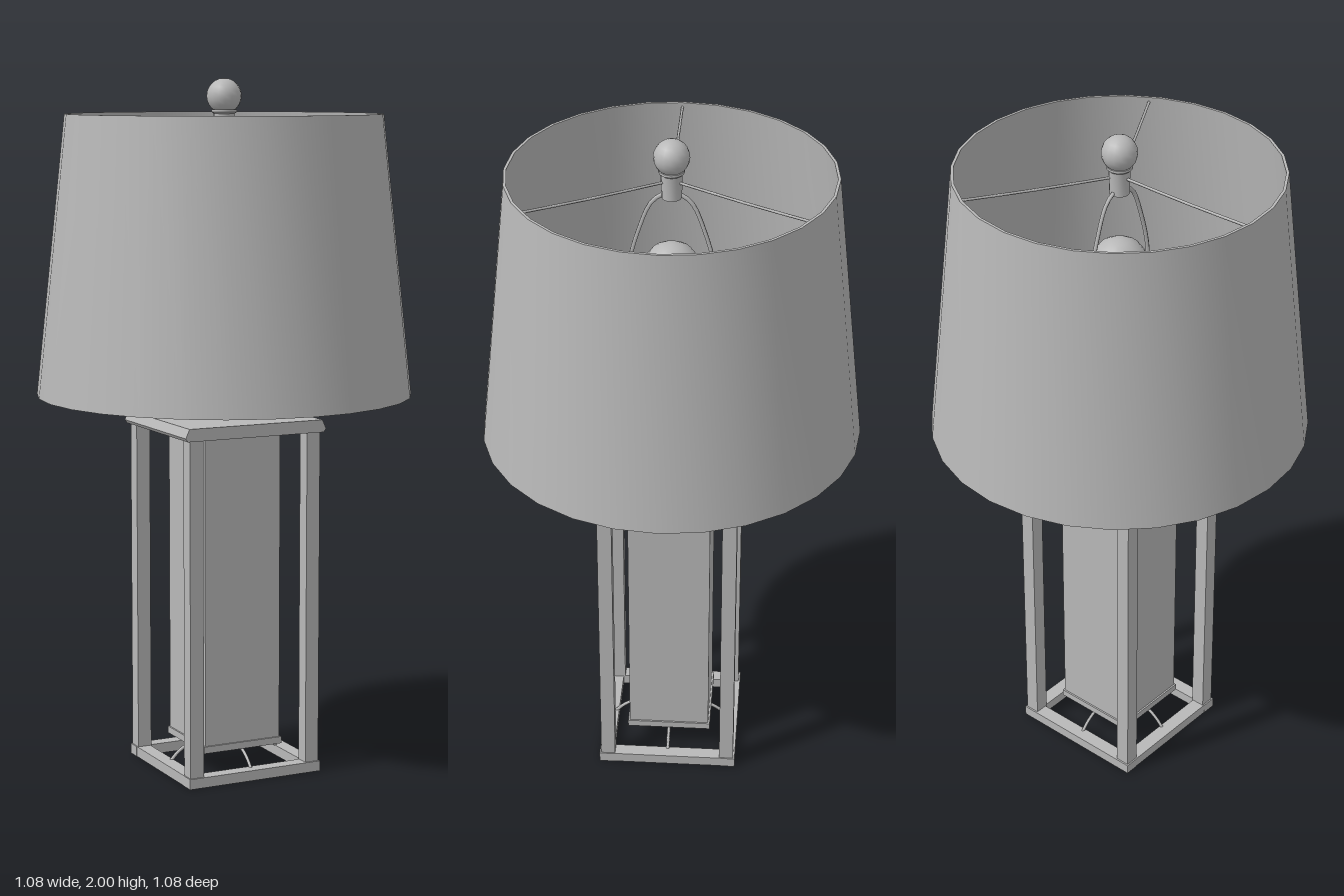
import * as THREE from 'three';
import { toCreasedNormals } from 'three/addons/utils/BufferGeometryUtils.js';

export function createModel() {
  const lamp = new THREE.Group();
  lamp.name = 'tableLamp';
  const gray = new THREE.MeshStandardMaterial({ color: 0xb8b8b8 });
  gray.name = 'plain gray';

  const add = (name, geometry, x = 0, y = 0, z = 0) => {
    const mesh = new THREE.Mesh(geometry, gray);
    mesh.name = name;
    mesh.position.set(x, y, z);
    lamp.add(mesh);
    return mesh;
  };
  const box = (name, w, h, d, x, y, z) => add(name, new THREE.BoxGeometry(w, h, d), x, y, z);
  const lathe = (name, points, sides) => add(name, toCreasedNormals(
    new THREE.LatheGeometry(points.map(p => new THREE.Vector2(...p)), sides), 0.7));
  const wire = (name, points, radius, steps = 12) => add(name, new THREE.TubeGeometry(
    new THREE.CatmullRomCurve3(points.map(p => new THREE.Vector3(...p))), steps, radius, 6));

  // Open bottom frame
  for (const s of [-1, 1]) {
    box('bottomRailX', 0.42, 0.03, 0.042, 0, 0.015, s * 0.185);
    box('bottomRailZ', 0.042, 0.03, 0.33, s * 0.188, 0.015, 0);
  }

  // Corner posts
  for (const x of [-1, 1]) for (const z of [-1, 1]) {
    box('cornerPost', 0.042, 0.98, 0.042, x * 0.185, 0.515, z * 0.18);
  }

  // Top plate with slanted side edges
  const plate = new THREE.Shape([
    [-0.215, 1.0], [0.215, 1.0], [0.222, 1.01], [0.21, 1.036], [-0.21, 1.036], [-0.222, 1.01],
  ].map(p => new THREE.Vector2(...p)));
  add('topPlate', new THREE.ExtrudeGeometry(plate, { depth: 0.416, bevelEnabled: false }), 0, 0, -0.208);

  // Central column on its slab, held by four curved struts
  box('column', 0.24, 0.91, 0.24, 0, 0.545, 0);
  box('columnSlab', 0.25, 0.02, 0.25, 0, 0.083, 0);
  for (let i = 0; i < 4; i++) {
    const strut = wire('columnStrut',
      [[0.08, 0.075, 0], [0.115, 0.07, 0], [0.15, 0.05, 0], [0.175, 0.025, 0]], 0.005);
    strut.rotation.y = i * Math.PI / 2;
  }

  // Neck, harp saddle and socket
  lathe('neckAndSocket', [
    [0, 1.03], [0.033, 1.03], [0.033, 1.33], [0.048, 1.355], [0.048, 1.37],
    [0.036, 1.38], [0.036, 1.48], [0, 1.48],
  ], 16);

  // Light bulb
  lathe('bulb', [
    [0.03, 1.47], [0.034, 1.5], [0.055, 1.535], [0.075, 1.57], [0.082, 1.605],
    [0.075, 1.64], [0.055, 1.668], [0.028, 1.683], [0, 1.687],
  ], 16);

  // Harp loop in the front-to-back plane
  wire('harp', [
    [0, 1.365, -0.035], [0, 1.38, -0.07], [0, 1.47, -0.112], [0, 1.6, -0.12], [0, 1.73, -0.09],
    [0, 1.82, -0.05], [0, 1.845, 0], [0, 1.82, 0.05], [0, 1.73, 0.09], [0, 1.6, 0.12],
    [0, 1.47, 0.112], [0, 1.38, 0.07], [0, 1.365, 0.035],
  ], 0.006, 48);

  // Finial stem and ball
  lathe('finialStem', [
    [0, 1.83], [0.028, 1.83], [0.03, 1.9], [0.036, 1.905], [0.036, 1.912], [0, 1.912],
  ], 12);
  add('finialBall', new THREE.SphereGeometry(0.05, 16, 12), 0, 1.95, 0);

  // Three spokes holding the shade
  for (let i = 0; i < 3; i++) {
    const spoke = wire('shadeSpoke', [[0.02, 1.88, 0], [0.24, 1.88, 0], [0.449, 1.885, 0]], 0.004, 4);
    spoke.rotation.y = Math.PI + i * Math.PI * 2 / 3;
  }

  // Thin-walled tapered shade, open at both ends
  lathe('shade', [
    [0.54, 1.1], [0.454, 1.9], [0.446, 1.9], [0.532, 1.1], [0.54, 1.1],
  ], 28);

  return lamp;
}
